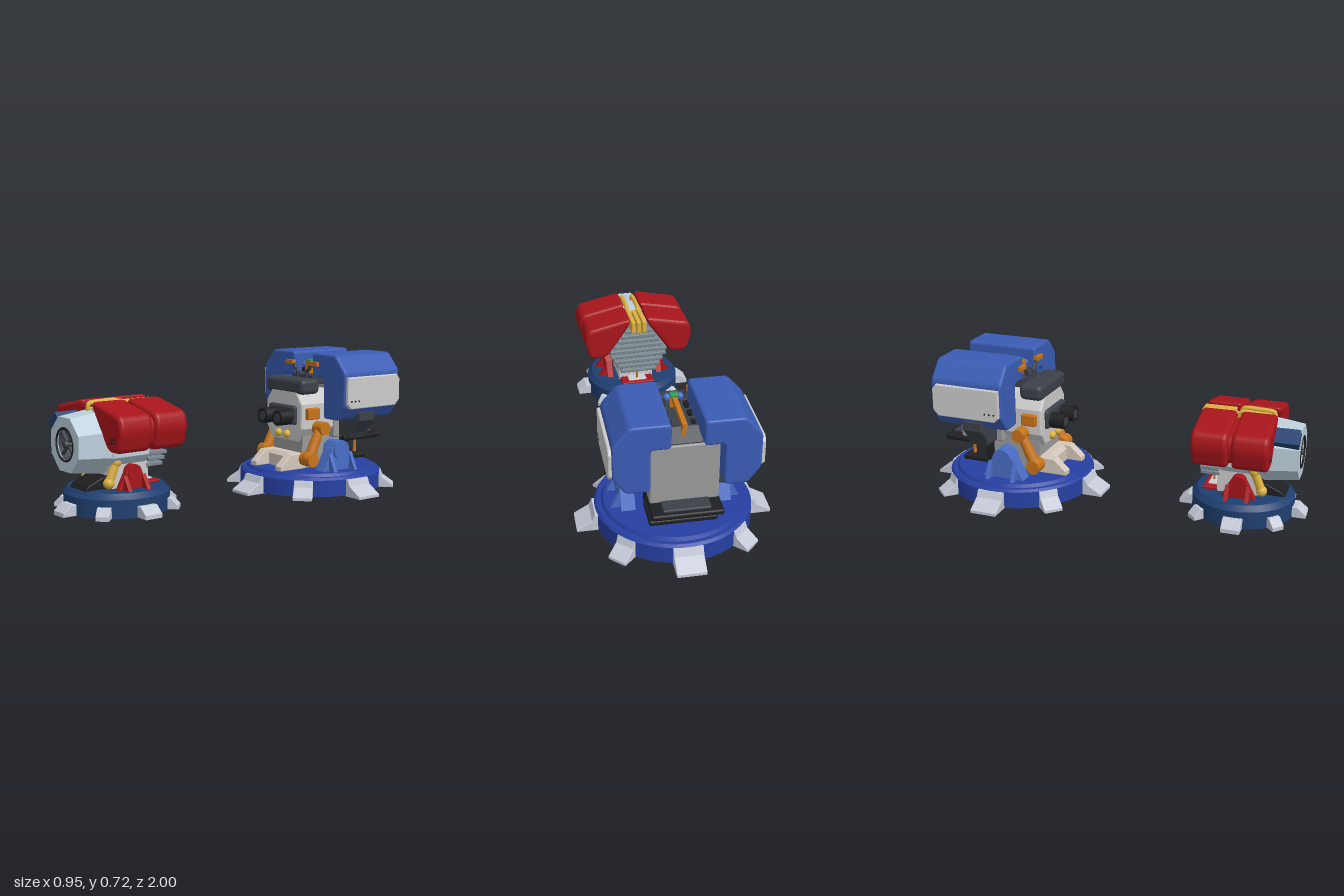
import * as THREE from 'three';
import { toCreasedNormals } from 'three/addons/utils/BufferGeometryUtils.js';
import { RoundedBoxGeometry } from 'three/addons/geometries/RoundedBoxGeometry.js';

const C = { blue: 0x3a5cb4, base: 0x2640a2, bracket: 0x4a6ec6, navy: 0x1f3f70, red: 0xa8151b, ice: 0xbccfdb,
  grey: 0xcccccc, mid: 0x9a9a9a, foot: 0xc4c9d6, dark: 0x3c4048, black: 0x1e1f22, orange: 0xc8741a,
  yellow: 0xdcb040, beige: 0xd4c8bc, steel: 0x7a8790, green: 0x2f9a50 };

const mats = {};
const mat = (color) => mats[color] ??= new THREE.MeshStandardMaterial({ color });

function add(parent, name, geo, color, pos = [0, 0, 0], rot = [0, 0, 0]) {
  const m = new THREE.Mesh(geo, mat(color));
  m.name = name;
  m.position.set(...pos);
  m.rotation.set(...rot);
  parent.add(m);
  return m;
}
const box = (w, h, d) => new THREE.BoxGeometry(w, h, d);
const rbox = (w, h, d, r = 0.01) => new RoundedBoxGeometry(w, h, d, 2, r);
const ball = (r) => new THREE.SphereGeometry(r, 20, 14);
const cylX = (r, h, n = 24) => new THREE.CylinderGeometry(r, r, h, n).rotateZ(Math.PI / 2);
const cylZ = (r0, r1, h, n = 24) => new THREE.CylinderGeometry(r0, r1, h, n).rotateX(Math.PI / 2);
const toShape = (pts) => new THREE.Shape(pts.map(([x, y]) => new THREE.Vector2(x, y)));

// Outline with rounded corners
function roundShape(pts, r) {
  const s = new THREE.Shape(), n = pts.length;
  const V = pts.map(([x, y]) => new THREE.Vector2(x, y));
  V.forEach((p, i) => {
    const a = V[(i + n - 1) % n].clone().sub(p), b = V[(i + 1) % n].clone().sub(p);
    a.setLength(Math.min(r, a.length() * 0.45)).add(p);
    b.setLength(Math.min(r, b.length() * 0.45)).add(p);
    if (i) s.lineTo(a.x, a.y); else s.moveTo(a.x, a.y);
    s.quadraticCurveTo(p.x, p.y, b.x, b.y);
  });
  s.closePath();
  return s;
}
// Extrusion centred on z, total depth d including bevel b
function prism(shape, d, b = 0) {
  const g = new THREE.ExtrudeGeometry(shape, { depth: d - 2 * b, bevelEnabled: b > 0, bevelSize: b,
    bevelThickness: b, bevelOffset: -b, bevelSegments: 3, curveSegments: 6 });
  return g.translate(0, 0, -(d - 2 * b) / 2);
}
// Side profile given as (z, y), extruded along x
const sidePrism = (pts, w, b = 0) => prism(toShape(pts), w, b).rotateY(-Math.PI / 2);

function rod(parent, name, a, b, r, color, r2 = r) {
  const A = new THREE.Vector3(...a), B = new THREE.Vector3(...b), d = B.clone().sub(A);
  const m = add(parent, name, new THREE.CylinderGeometry(r2, r, d.length(), 20), color);
  m.position.copy(A.add(B).multiplyScalar(0.5));
  m.quaternion.setFromUnitVectors(new THREE.Vector3(0, 1, 0), d.normalize());
}
function pipe(parent, name, pts, r, color) {
  const c = new THREE.CatmullRomCurve3(pts.map((p) => new THREE.Vector3(...p)), false, 'catmullrom', 0.3);
  add(parent, name, new THREE.TubeGeometry(c, 24, r, 10), color);
}
// Hollow-bottomed turntable with eight feet, the diagonal ones smaller
function base(parent, profile, footProfile, footWidth, color) {
  const g = new THREE.LatheGeometry(profile.map(([x, y]) => new THREE.Vector2(x, y)), 64);
  const disc = add(parent, 'baseDisc', toCreasedNormals(g, 0.4), color);
  disc.material = new THREE.MeshStandardMaterial({ color, side: THREE.DoubleSide });
  const r0 = footProfile[0][0];
  const short = footProfile.map(([x, y]) => [r0 + (x - r0) * 0.83, y]);
  const feet = [prism(toShape(footProfile), footWidth, 0.004), prism(toShape(short), footWidth * 0.7, 0.004)];
  for (let i = 0; i < 8; i++) add(parent, 'foot', feet[i % 2], C.foot, [0, 0, 0], [0, i * Math.PI / 4, 0]);
}
// Flared pivot bracket with a round hub
function bracket(parent, s, x, z, y0, h, halfW, t, color) {
  const pts = [[z - halfW, y0], [z + halfW, y0], [z + halfW * 0.48, y0 + h * 0.75], [z + halfW * 0.25, y0 + h],
    [z - halfW * 0.25, y0 + h], [z - halfW * 0.48, y0 + h * 0.75]];
  add(parent, 'bracket', sidePrism(pts, t, 0.004), color, [s * x, 0, 0]);
  add(parent, 'bracketHub', cylX(halfW * 0.44, t * 1.3), color, [s * x, y0 + h * 0.7, z]);
  for (const k of [-0.6, 0.6]) {
    const rib = prism(toShape([[0, y0], [s * 0.045, y0], [0, y0 + h * 0.6]]), 0.02);
    add(parent, 'bracketRib', rib, color, [s * (x + t / 2), 0, z + k * halfW]);
  }
}

function blueTurret() {
  const g = new THREE.Group();
  g.name = 'blueTurret';
  base(g, [[0, 0.095], [0.34, 0.095], [0.355, 0.005], [0.378, 0.005], [0.378, 0.09], [0.366, 0.102],
    [0.345, 0.102], [0.335, 0.118], [0, 0.118]],
    [[0.35, 0], [0.473, 0], [0.473, 0.014], [0.4, 0.057], [0.385, 0.09], [0.35, 0.09]], 0.14, C.base);
  add(g, 'baseCore', box(0.25, 0.06, 0.25), C.mid, [0, 0.08, -0.01]);

  // Body
  add(g, 'column', box(0.24, 0.2, 0.27), C.mid, [0, 0.21, 0.02]);
  const oct = [[-0.15, 0.33], [-0.1, 0.26], [0.1, 0.26], [0.15, 0.33], [0.15, 0.46], [0.1, 0.53], [-0.1, 0.53], [-0.15, 0.46]];
  add(g, 'bodyFront', prism(toShape(oct), 0.26, 0.012), C.grey, [0, 0, 0.055]);
  add(g, 'bodyBack', rbox(0.32, 0.3, 0.24), C.mid, [0, 0.42, -0.15]);
  add(g, 'spine', sidePrism([[-0.26, 0.555], [0.06, 0.55], [0.06, 0.6], [-0.2, 0.625], [-0.26, 0.575]], 0.17, 0.005), C.dark);
  add(g, 'hood', rbox(0.31, 0.08, 0.125, 0.025), C.dark, [0, 0.55, 0.127]);
  add(g, 'gunMount', rbox(0.22, 0.1, 0.04, 0.015), C.dark, [0, 0.4, 0.185]);
  add(g, 'step', sidePrism([[0.14, 0.118], [0.22, 0.118], [0.22, 0.18], [0.2, 0.2], [0.14, 0.2]], 0.18, 0.005), C.beige);

  // Top rail, mast and sights
  add(g, 'rail', box(0.022, 0.025, 0.27), C.orange, [0, 0.655, -0.12]);
  add(g, 'railPost', box(0.018, 0.06, 0.03), C.orange, [0, 0.625, -0.22]);
  add(g, 'mast', box(0.036, 0.08, 0.03), C.orange, [0, 0.63, 0.01]);
  add(g, 'mastCap', rbox(0.04, 0.014, 0.035, 0.005), C.green, [0, 0.672, 0]);

  // Lower rear tray
  add(g, 'trayTop', rbox(0.33, 0.028, 0.265), C.black, [0, 0.257, -0.235]);
  add(g, 'trayRim', rbox(0.22, 0.02, 0.15, 0.006), C.dark, [0, 0.272, -0.27]);
  add(g, 'trayBottom', rbox(0.32, 0.028, 0.165), C.black, [0, 0.155, -0.185]);
  add(g, 'trayWall', box(0.32, 0.12, 0.025), C.black, [0, 0.205, -0.115]);

  const podPts = [[0.072, 0.72], [0.255, 0.72], [0.334, 0.63], [0.334, 0.46], [0.275, 0.38],
    [0.165, 0.38], [0.165, 0.595], [0.072, 0.595]];
  const platePts = [[0.045, 0.61], [-0.3, 0.61], [-0.32, 0.585], [-0.32, 0.475], [-0.29, 0.445], [0.02, 0.445], [0.045, 0.47]];
  const armPts = [[0.13, 0.275], [0.25, 0.275], [0.265, 0.305], [0.322, 0.375], [0.322, 0.42], [0.13, 0.42]];
  const mirror = (pts, s) => pts.map(([x, y]) => [s * x, y]);
  for (const s of [-1, 1]) {
    add(g, 'pod', prism(roundShape(mirror(podPts, s), 0.02), 0.385, 0.012), C.blue, [0, 0, -0.138]);
    add(g, 'podSidePlate', sidePrism(platePts, 0.03, 0.006), C.grey, [s * 0.335, 0, 0]);
    for (let i = 0; i < 3; i++) add(g, 'plateHole', cylX(0.005, 0.004, 8), C.black, [s * 0.35, 0.485, -0.03 + i * 0.025]);
    add(g, 'podArm', prism(toShape(mirror(armPts, s)), 0.11, 0.012), C.dark, [0, 0, -0.12]);
    bracket(g, s, 0.23, 0.015, 0.115, 0.155, 0.115, 0.07, C.bracket);
    // Hydraulic arm
    add(g, 'armFootHub', cylX(0.036, 0.078), C.orange, [s * 0.18, 0.175, 0.16]);
    add(g, 'armFootBall', ball(0.04), C.orange, [s * 0.18, 0.178, 0.157]);
    rod(g, 'arm', [s * 0.18, 0.175, 0.16], [s * 0.18, 0.335, 0.085], 0.03, C.orange, 0.024);
    add(g, 'armTopHub', cylX(0.034, 0.075), C.orange, [s * 0.18, 0.335, 0.08]);
    add(g, 'sideBlock', rbox(0.04, 0.06, 0.08, 0.006), C.orange, [s * 0.155, 0.41, 0.12]);
    // Twin barrels
    add(g, 'barrel', cylZ(0.041, 0.041, 0.09), C.black, [s * 0.062, 0.39, 0.235]);
    add(g, 'barrelSleeve', cylZ(0.033, 0.033, 0.08), C.dark, [s * 0.062, 0.39, 0.185]);
    add(g, 'barrelBore', cylZ(0.024, 0.024, 0.004), C.dark, [s * 0.062, 0.39, 0.281]);
    add(g, 'valve', ball(0.022), C.yellow, [s * 0.035, 0.295, 0.19]);
    // Sloping step legs, sights and tray pistons
    add(g, 'stepLeg', sidePrism([[0.14, 0.118], [0.305, 0.118], [0.305, 0.14], [0.24, 0.2], [0.14, 0.2]], 0.05, 0.004), C.beige, [s * 0.105, 0, 0]);
    add(g, 'sightBall', ball(0.017), C.bracket, [s * 0.03, 0.652, 0.015]);
    add(g, 'sightBar', box(0.06, 0.022, 0.025), C.orange, [s * 0.1, 0.663, 0.06]);
    pipe(g, 'sightPipe', [[s * 0.068, 0.655, 0.06], [s * 0.06, 0.635, 0.06], [s * 0.036, 0.615, 0.06], [s * 0.036, 0.57, 0.06]], 0.01, C.dark);
    rod(g, 'trayPiston', [s * 0.11, 0.165, -0.225], [s * 0.11, 0.25, -0.225], 0.009, C.orange);
    for (let i = 0; i < 3; i++) add(g, 'spineClip', box(0.02, 0.02, 0.035), C.black, [s * 0.055, 0.62, -0.17 + i * 0.08]);
  }
  return g;
}

function redTurret() {
  const g = new THREE.Group();
  g.name = 'redTurret';
  base(g, [[0, 0.11], [0.215, 0.11], [0.23, 0.035], [0.253, 0.035], [0.253, 0.122], [0.24, 0.135], [0.23, 0.148], [0, 0.148]],
    [[0.23, 0.035], [0.316, 0.035], [0.316, 0.055], [0.275, 0.09], [0.23, 0.09]], 0.093, C.navy);
  add(g, 'baseCore', box(0.18, 0.04, 0.18), C.mid, [0, 0.1, 0]);

  // Body
  add(g, 'column', box(0.19, 0.2, 0.2), C.grey, [0, 0.24, -0.015]);
  const bodyPts = [[-0.14, 0.3], [-0.1, 0.26], [0.1, 0.26], [0.14, 0.3], [0.14, 0.4], [0.05, 0.52], [-0.05, 0.52], [-0.14, 0.4]];
  add(g, 'body', prism(toShape(bodyPts), 0.22, 0.008), C.ice, [0, 0, 0.01]);
  add(g, 'frontRamp', sidePrism([[0.06, 0.148], [0.215, 0.148], [0.2, 0.17], [0.12, 0.205], [0.06, 0.205]], 0.15, 0.006), C.black);
  add(g, 'rearPlate', rbox(0.18, 0.016, 0.1, 0.005), C.red, [0, 0.152, -0.14]);
  add(g, 'rearPlateTop', rbox(0.1, 0.012, 0.06, 0.005), C.grey, [0, 0.162, -0.14]);
  rod(g, 'rearPin', [0, 0.16, -0.15], [0, 0.24, -0.15], 0.006, C.orange);

  // Octagonal nose with a tapered shell, ring face and spoked bore
  const y = 0.365, k = Math.cos(Math.PI / 8);
  const shell = new THREE.CylinderGeometry(0.126 / k, 0.146 / k, 0.16, 8, 1, true).rotateY(Math.PI / 8).rotateX(Math.PI / 2);
  add(g, 'noseShell', toCreasedNormals(shell, 0.3), C.ice, [0, y, 0.19]);
  add(g, 'noseBack', cylZ(0.146 / k, 0.135 / k, 0.02, 8).rotateZ(Math.PI / 8), C.ice, [0, y, 0.1]);
  const face = toShape([...Array(8).keys()].map((i) => {
    const a = (i + 0.5) * Math.PI / 4;
    return [0.126 / k * Math.cos(a), 0.126 / k * Math.sin(a)];
  }));
  face.holes.push(new THREE.Path().absarc(0, 0, 0.08, 0, Math.PI * 2, true));
  add(g, 'noseFace', prism(face, 0.012), C.ice, [0, y, 0.27]);
  add(g, 'boreRim', new THREE.TorusGeometry(0.077, 0.005, 8, 40), C.black, [0, y, 0.275]);
  const bore = add(g, 'bore', new THREE.CylinderGeometry(0.08, 0.08, 0.1, 32, 1, true).rotateX(Math.PI / 2), C.dark, [0, y, 0.22]);
  bore.material = new THREE.MeshStandardMaterial({ color: C.dark, side: THREE.DoubleSide });
  add(g, 'boreBack', cylZ(0.08, 0.08, 0.01), C.ice, [0, y, 0.175]);
  for (const a of [1, -1]) add(g, 'spokes', box(0.155, 0.01, 0.015), C.dark, [0, y, 0.255], [0, 0, a * Math.PI / 4]);
  add(g, 'hub', cylZ(0.014, 0.028, 0.07), C.dark, [0, y, 0.245]);
  add(g, 'noseBox', rbox(0.085, 0.06, 0.16, 0.005), C.navy, [-0.1, 0.459, 0.195], [0, 0, 0.7]);

  // Rear cooling fins, following the gap between the pods
  for (let i = 0; i < 9; i++) {
    const fy = 0.24 + i * 0.03;
    const w = fy < 0.35 ? 0.1 + (fy - 0.24) * 0.6 : 0.165 - (fy - 0.35) * 0.7;
    add(g, 'coolingFin', rbox(2 * w, 0.019, 0.095, 0.004), C.steel, [0, fy, -0.152]);
  }
  add(g, 'finCore', box(0.14, 0.27, 0.06), C.steel, [0, 0.37, -0.14]);
  for (const x of [-0.03, 0, 0.03]) add(g, 'topBar', rbox(0.024, 0.07, 0.16, 0.006), C.yellow, [x, 0.51, -0.135]);

  const podPts = [[0.046, 0.562], [0.283, 0.512], [0.3, 0.445], [0.27, 0.341], [0.178, 0.341], [0.046, 0.53]];
  const corePts = [[0.07, 0.535], [0.26, 0.495], [0.28, 0.445], [0.255, 0.36], [0.185, 0.36], [0.07, 0.52]];
  for (const s of [-1, 1]) {
    const outline = (pts) => roundShape(pts.map(([x, py]) => [s * x, py]), 0.03);
    for (const z of [0.071, -0.122]) add(g, 'pod', prism(outline(podPts), 0.176, 0.02), C.red, [0, 0, z]);
    add(g, 'podCore', prism(outline(corePts), 0.1), C.red, [0, 0, -0.025]);
    for (let i = 0; i < 6; i++) {
      const row = i > 2 ? 1 : 0;
      add(g, 'podHole', cylZ(0.006, 0.006, 0.004, 6), C.black, [s * (0.2 + (i % 3) * 0.02 + row * 0.01), 0.383 + row * 0.017 + (i % 3) * 0.004, 0.158]);
    }
    pipe(g, 'topPipe', [[s * 0.03, 0.5, 0.13], [s * 0.03, 0.54, 0.125], [s * 0.03, 0.545, 0.05], [s * 0.03, 0.545, -0.02], [s * 0.03, 0.5, -0.04]], 0.012, C.yellow);
    bracket(g, s, 0.14, 0, 0.148, 0.112, 0.085, 0.035, C.red);
    // Yellow strut
    add(g, 'strutFoot', ball(0.027), C.yellow, [s * 0.1, 0.178, 0.105]);
    rod(g, 'strut', [s * 0.1, 0.178, 0.105], [s * 0.102, 0.28, 0.065], 0.021, C.yellow);
    add(g, 'strutTop', ball(0.026), C.yellow, [s * 0.102, 0.275, 0.067]);
  }
  // Hose on one side only
  pipe(g, 'elbowPipe', [[-0.11, 0.31, 0.05], [-0.16, 0.318, 0.06], [-0.195, 0.33, 0.06], [-0.205, 0.365, 0.06]], 0.017, C.yellow);
  return g;
}

export function createModel() {
  const model = new THREE.Group();
  model.name = 'turretPair';
  const blue = blueTurret(), red = redTurret();
  blue.position.set(0, 0, -0.525);
  blue.rotation.y = -0.045;
  red.position.set(-0.05, 0, 0.68);
  model.add(blue, red);
  return model;
}
